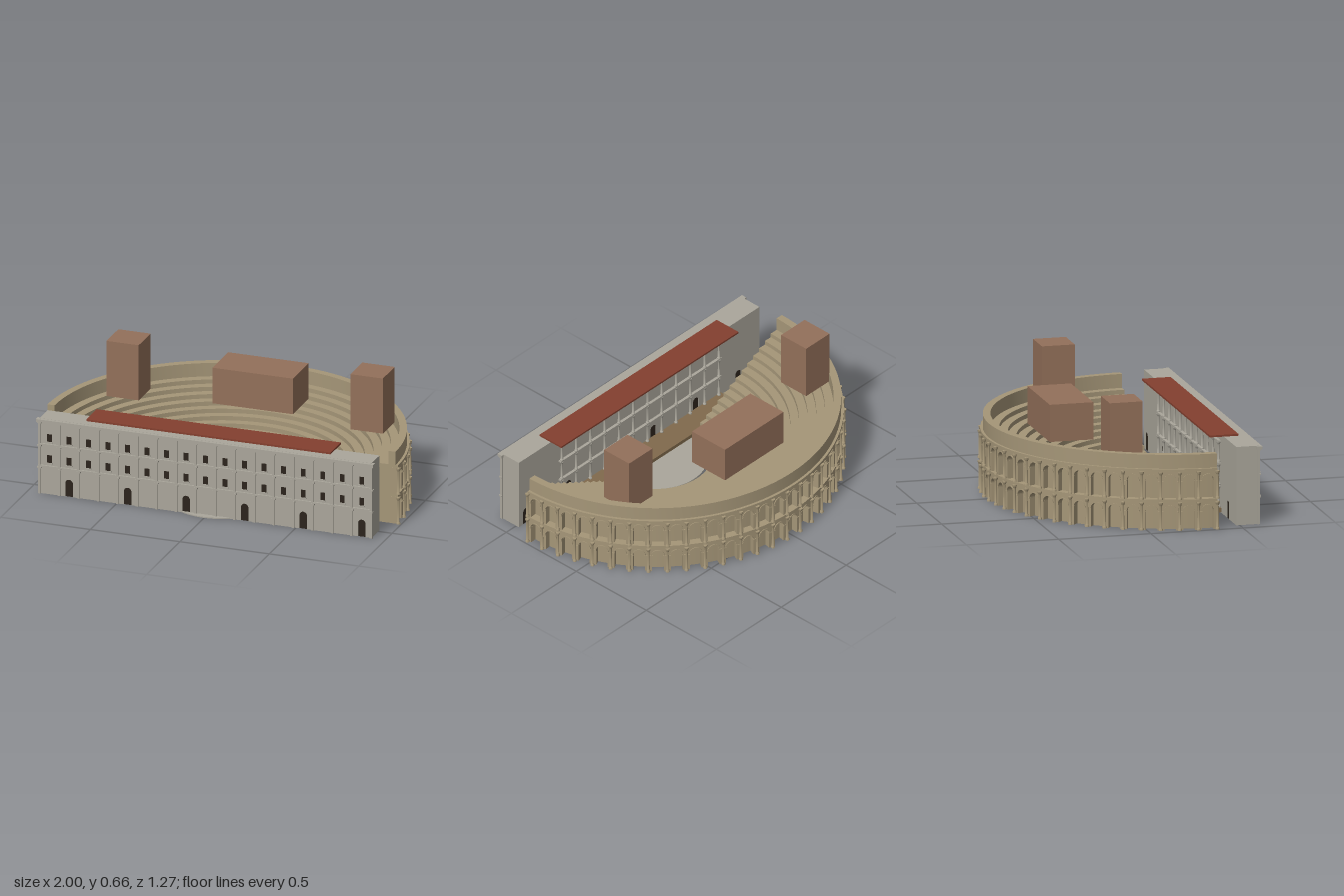
import * as THREE from 'three';
import { mergeGeometries, toCreasedNormals } from 'three/addons/utils/BufferGeometryUtils.js';

const CENTER_Z = 0.364;
const BAYS = 31;

const mat = (color) => new THREE.MeshStandardMaterial({ color, roughness: 0.9, side: THREE.DoubleSide });
const stone = mat(0xa59678);
const marble = mat(0xaaa69b);
const dark = mat(0x2c241c);
const tile = mat(0x84402f);
const clay = mat(0x93705a);
const timber = mat(0x806a4c);

function box(x0, x1, y0, y1, z0, z1) {
  return new THREE.BoxGeometry(x1 - x0, y1 - y0, z1 - z0)
    .translate((x0 + x1) / 2, (y0 + y1) / 2, (z0 + z1) / 2);
}

function extrude(shape, depth, curveSegments = 8) {
  return new THREE.ExtrudeGeometry(shape, { depth, bevelEnabled: false, curveSegments });
}

// Solid half annulus curving towards -z
function halfRing(r0, r1, y0, y1) {
  const s = new THREE.Shape();
  s.absarc(0, 0, r1, 0, Math.PI, false);
  s.absarc(0, 0, r0, Math.PI, 0, true);
  const g = extrude(s, y1 - y0, 48).rotateX(-Math.PI / 2).translate(0, y0, 0);
  return toCreasedNormals(g, 0.5);
}

// Round-headed opening, drawn as part of an outline from left foot to right foot
function addArch(path, x, width, y0, top) {
  const r = width / 2;
  path.lineTo(x - r, y0);
  path.lineTo(x - r, top - r);
  path.absarc(x, top - r, r, Math.PI, 0, true);
  path.lineTo(x + r, y0);
}

// Round column with base and capital
function column(h, r) {
  const flare = [[0, 0], [1.5, 0], [1.5, 0.05], [1, 0.09], [0.85, 0.86], [1.1, 0.9], [1.6, 0.95], [1.6, 1], [0, 1]];
  const g = new THREE.LatheGeometry(flare.map(([x, y]) => new THREE.Vector2(x * r, y * h)), 10);
  return toCreasedNormals(g, 0.6);
}

// Turns a part facing +z around the half circle at the given angle
function around(g, radius, angle) {
  return g.clone().translate(0, 0, radius).rotateY(Math.PI / 2 + angle);
}

function join(parts) {
  return mergeGeometries(parts.map((g) => (g.index ? g.toNonIndexed() : g)));
}

function merged(name, parts, material) {
  const m = new THREE.Mesh(join(parts), material);
  m.name = name;
  return m;
}

function createSeating() {
  const group = new THREE.Group();
  group.name = 'auditorium';
  group.position.z = CENTER_Z;

  // Stepped seats, solid down to the ground
  const rows = 14, inner = 0.297, outer = 0.932;
  const tread = (outer - inner) / rows, rise = 0.0235;
  const seats = [];
  for (let i = 0; i < rows; i++) {
    const r = inner + i * tread;
    seats.push(halfRing(r, r + tread, 0, (i + 1) * rise));
  }
  group.add(merged('seatRows', seats, stone));

  // Backing wall, attic and cornices
  group.add(merged('outerWall', [
    halfRing(0.932, 0.945, 0, 0.33),
    halfRing(0.932, 0.972, 0.329, 0.404),
  ], stone));
  group.add(merged('cornices', [
    halfRing(0.943, 0.986, 0.151, 0.166),
    halfRing(0.943, 0.986, 0.315, 0.329),
  ], stone));

  // Two tiers of deep arches with engaged columns
  const step = Math.PI / BAYS;
  const arches = [], columns = [];
  for (const [y0, h] of [[0, 0.151], [0.166, 0.149]]) {
    const half = 0.979 * Math.tan(step / 2);
    const panel = new THREE.Shape();
    panel.moveTo(-half, 0);
    addArch(panel, 0, 0.062, 0, h - 0.02);
    panel.lineTo(half, 0);
    panel.lineTo(half, h);
    panel.lineTo(-half, h);
    // Raised band over the arch head
    const rim = new THREE.Shape();
    rim.absarc(0, h - 0.051, 0.036, 0, Math.PI, false);
    rim.absarc(0, h - 0.051, 0.031, Math.PI, 0, true);
    const bay = [extrude(panel, 0.037), extrude(rim, 0.041)];
    for (const side of [-1, 1]) {
      bay.push(box(side * 0.037 - 0.007, side * 0.037 + 0.007, h - 0.057, h - 0.051, 0.02, 0.042));
    }
    const unit = join(bay).translate(0, y0, 0);
    const post = column(h, 0.0072).translate(0, y0, 0);
    for (let i = 0; i <= BAYS; i++) {
      if (i < BAYS) arches.push(around(unit, 0.942, (i + 0.5) * step));
      columns.push(around(post, 0.988, i * step));
    }
  }
  group.add(merged('arcade', arches, stone), merged('arcadeColumns', columns, stone));
  return group;
}

function createStageBuilding() {
  const group = new THREE.Group();
  group.name = 'stageBuilding';
  const pitch = 0.109, back = 0.482, front = 0.602;
  const isDoorBay = (i) => i % 3 === 1;
  const bayX = (i) => (i - 8) * pitch;

  // Wall with arched passages cut in every third bay
  const wall = new THREE.Shape();
  wall.moveTo(-0.927, 0);
  for (let i = 0; i < 17; i++) if (isDoorBay(i)) addArch(wall, bayX(i), 0.042, 0, 0.096);
  wall.lineTo(0.927, 0);
  wall.lineTo(0.927, 0.421);
  wall.lineTo(-0.927, 0.421);
  group.add(merged('stageWall', [extrude(wall, front - back).translate(0, 0, back)], marble));

  // Facade pilasters, string courses and top cornice
  const trim = [
    box(-0.942, 0.942, 0.404, 0.42, 0.59, 0.62),
    box(-0.93, 0.93, 0.152, 0.161, 0.595, 0.612),
    box(-0.93, 0.93, 0.274, 0.283, 0.595, 0.612),
  ];
  for (let i = 0; i <= 17; i++) {
    const x = (i - 8.5) * pitch;
    trim.push(box(x - 0.007, x + 0.007, 0, 0.405, 0.595, 0.61));
    for (const y of [0.144, 0.266, 0.396]) trim.push(box(x - 0.011, x + 0.011, y, y + 0.008, 0.595, 0.614));
  }

  // Windows with sills and dark door fillings
  const openings = [];
  for (let i = 0; i < 17; i++) {
    const x = bayX(i);
    for (const y of [0.177, 0.295]) {
      openings.push(box(x - 0.013, x + 0.013, y, y + 0.042, 0.59, front + 0.002));
      trim.push(box(x - 0.018, x + 0.018, y - 0.006, y, 0.595, front + 0.005));
    }
    if (isDoorBay(i)) {
      const door = new THREE.Shape();
      addArch(door, x, 0.042, 0, 0.096);
      openings.push(extrude(door, front - back - 0.006).translate(0, 0, back + 0.002));
    }
  }
  group.add(merged('facadeTrim', trim, marble), merged('facadeOpenings', openings, dark));

  // Three tiers of columns facing the audience
  const screen = [];
  for (const y of [0.027, 0.147, 0.267]) {
    const post = column(0.112, 0.0065);
    for (let i = 0; i < 12; i++) screen.push(post.clone().translate((i - 5.5) * 0.11, y, 0.473));
    screen.push(box(-0.62, 0.62, y + 0.112, y + 0.12, 0.466, 0.485));
  }
  group.add(merged('stageColumns', screen, marble));

  group.add(merged('stageRoof', [box(-0.682, 0.682, 0.422, 0.432, 0.405, 0.56)], tile));
  group.add(merged('stagePlatform', [
    box(-0.63, 0.63, 0.004, 0.026, 0.354, 0.486),
    box(-0.337, 0.337, 0.004, 0.026, 0.344, 0.355),
  ], timber));
  return group;
}

export function createModel() {
  const root = new THREE.Group();
  root.name = 'theatre';
  const model = new THREE.Group();
  model.name = 'theatreParts';
  model.position.x = -0.004;
  root.add(model);
  model.add(createSeating(), createStageBuilding());

  // Round orchestra floor
  const floor = new THREE.CylinderGeometry(0.274, 0.274, 0.006, 64).translate(0, 0.003, CENTER_Z);
  model.add(merged('orchestraFloor', [floor], marble));

  // Raised blocks over the seating
  model.add(merged('centreBlock', [box(-0.225, 0.225, 0.34, 0.54, -0.34, -0.104)], clay));
  for (const [name, x] of [['leftBlock', 0.682], ['rightBlock', -0.682]]) {
    model.add(merged(name, [box(x - 0.09, x + 0.09, 0.35, 0.66, -0.162, 0.016)], clay));
  }
  return root;
}
